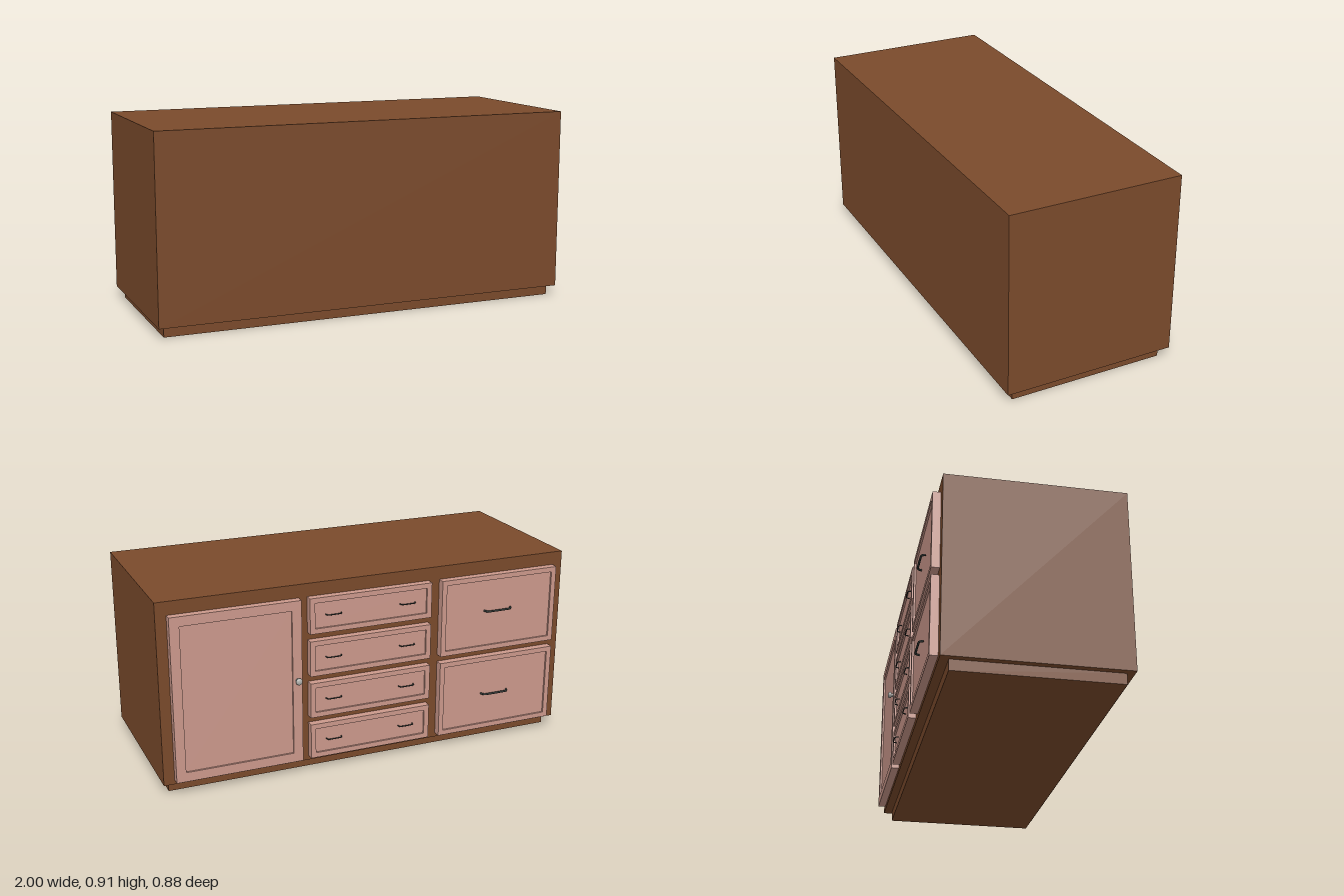
import * as THREE from 'three';

const wood = new THREE.MeshStandardMaterial({ color: 0x7a4a2b });
const rose = new THREE.MeshStandardMaterial({ color: 0xcc998c });
const iron = new THREE.MeshStandardMaterial({ color: 0x2c3431 });
const steel = new THREE.MeshStandardMaterial({ color: 0xb0b0ac });

const BACK = -0.375; // cabinet face that carries the door and drawers
const FACE = -0.412; // outer plane of the door and drawers

function add(parent, name, geometry, material, x = 0, y = 0, z = 0) {
  const mesh = new THREE.Mesh(geometry, material);
  mesh.name = name;
  mesh.position.set(x, y, z);
  parent.add(mesh);
  return mesh;
}

function rectangle(target, w, h) {
  target.moveTo(-w / 2, -h / 2);
  target.lineTo(w / 2, -h / 2);
  target.lineTo(w / 2, h / 2);
  target.lineTo(-w / 2, h / 2);
  target.closePath();
  return target;
}

// Framed front: a raised border around a slightly recessed panel
function framedFront(name, x0, x1, y0, y1, border) {
  const group = new THREE.Group();
  group.name = name;
  const w = x1 - x0, h = y1 - y0, depth = BACK - FACE, recess = 0.009;
  group.position.set((x0 + x1) / 2, (y0 + y1) / 2, 0);

  const outline = rectangle(new THREE.Shape(), w, h);
  outline.holes.push(rectangle(new THREE.Path(), w - 2 * border, h - 2 * border));
  const frame = new THREE.ExtrudeGeometry(outline, { depth, bevelEnabled: false });
  add(group, 'frame', frame, rose, 0, 0, FACE);

  const panel = new THREE.BoxGeometry(w - 2 * border, h - 2 * border, depth - recess);
  add(group, 'panel', panel, rose, 0, 0, (BACK + FACE + recess) / 2);
  return group;
}

// Bow handle lying in a horizontal plane, standing off the recessed panel
function bowHandle(parent, x, y, width, reach, radius) {
  const w = width / 2, base = FACE + 0.009;
  const curve = new THREE.CatmullRomCurve3([
    new THREE.Vector3(-w, 0, base),
    new THREE.Vector3(-w * 0.85, 0, FACE - reach * 0.55),
    new THREE.Vector3(-w * 0.4, 0, FACE - reach + radius),
    new THREE.Vector3(w * 0.4, 0, FACE - reach + radius),
    new THREE.Vector3(w * 0.85, 0, FACE - reach * 0.55),
    new THREE.Vector3(w, 0, base),
  ]);
  add(parent, 'handle', new THREE.TubeGeometry(curve, 24, radius, 8), iron, x, y, 0);
}

export function createModel() {
  const model = new THREE.Group();
  model.name = 'cabinet';

  // Carcass on a recessed plinth
  add(model, 'carcass', new THREE.BoxGeometry(2, 0.86, 0.815), wood, 0, 0.48, 0.0325);
  add(model, 'plinth', new THREE.BoxGeometry(1.94, 0.05, 0.74), wood, 0, 0.025, 0.035);

  // Door with a round knob
  model.add(framedFront('door', 0.35, 0.95, 0.07, 0.848, 0.045));
  const knobProfile = [
    [0, 0], [0.011, 0], [0.009, 0.004], [0.009, 0.01], [0.014, 0.012],
    [0.016, 0.018], [0.014, 0.024], [0.008, 0.027], [0, 0.028],
  ].map(([r, h]) => new THREE.Vector2(r, h));
  const knob = add(model, 'knob', new THREE.LatheGeometry(knobProfile, 24), steel, 0.372, 0.472, FACE);
  knob.rotation.x = -Math.PI / 2;

  // Four narrow drawers, two handles each
  for (let i = 0; i < 4; i++) {
    const y = 0.157 + i * 0.2027;
    model.add(framedFront('smallDrawer', -0.29, 0.31, y - 0.084, y + 0.084, 0.024));
    for (const x of [-0.17, 0.195]) bowHandle(model, x, y, 0.075, 0.01, 0.0027);
  }

  // Two deep drawers, one wide handle each
  for (const [y0, y1, handleY] of [[0.07, 0.442, 0.25], [0.476, 0.848, 0.673]]) {
    model.add(framedFront('largeDrawer', -0.95, -0.345, y0, y1, 0.024));
    bowHandle(model, -0.643, handleY, 0.14, 0.016, 0.005);
  }

  return model;
}
